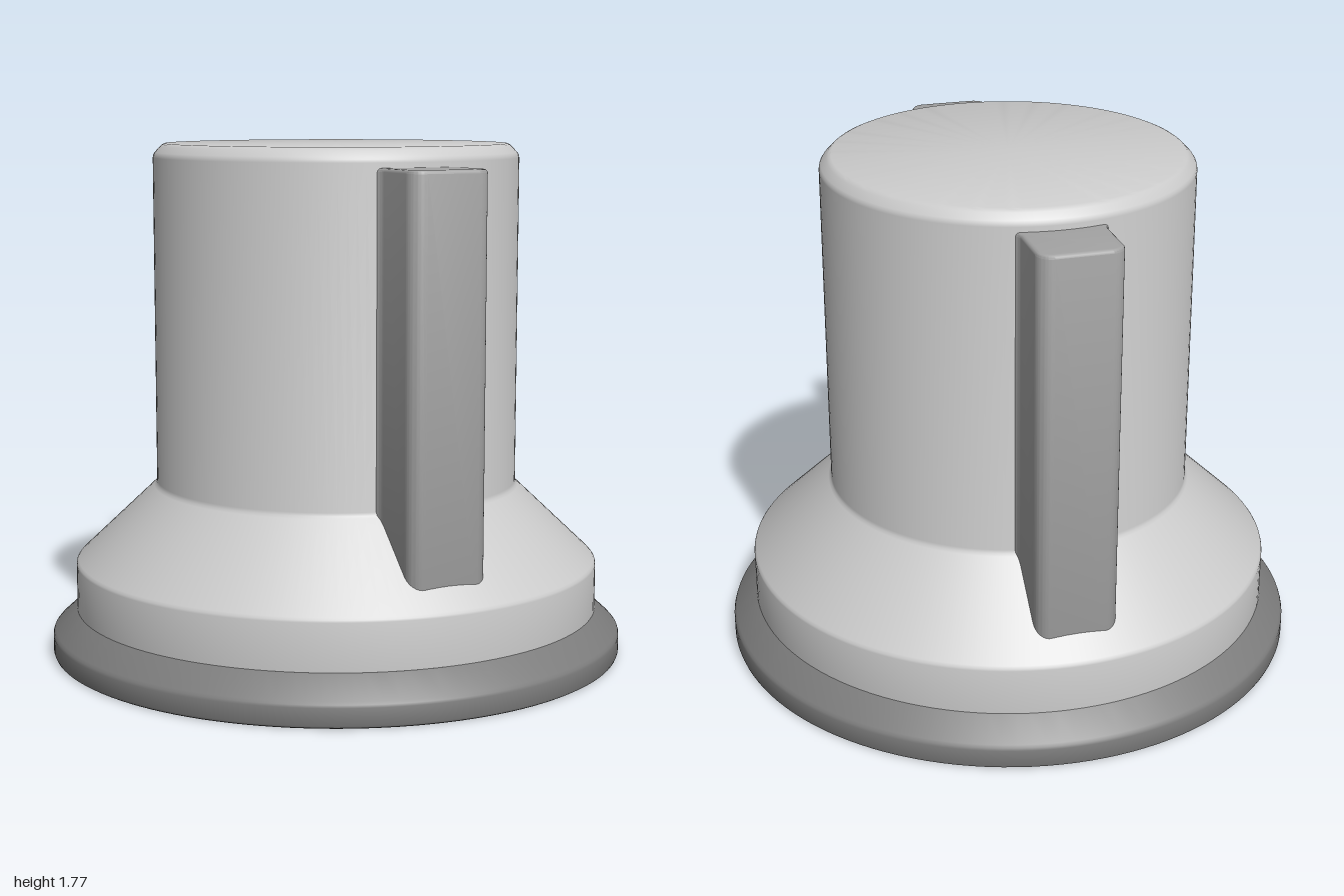
import * as THREE from 'three';
import { toCreasedNormals } from 'three/addons/utils/BufferGeometryUtils.js';

const mat = (color) => new THREE.MeshStandardMaterial({ color });

// Revolved part from [radius, height] pairs, with crisp edges kept
function turned(name, points, material) {
  const lathe = new THREE.LatheGeometry(points.map(([r, y]) => new THREE.Vector2(r, y)), 128);
  const mesh = new THREE.Mesh(toCreasedNormals(lathe, 0.5), material);
  mesh.name = name;
  return mesh;
}

// Upright grip rib with rounded outer corners and a small flare at its root
function ribGeometry() {
  const w = 0.14, out = 0.84, r = 0.05, bevel = 0.012, bottom = 0.34, top = 1.705;
  const s = new THREE.Shape();
  s.moveTo(-0.155, 0.5);
  s.lineTo(0.155, 0.5);
  s.lineTo(0.155, 0.605);
  s.quadraticCurveTo(w, 0.62, w, 0.65);
  s.lineTo(w, out - r);
  s.absarc(w - r, out - r, r, 0, Math.PI / 2, false);
  s.absarc(r - w, out - r, r, Math.PI / 2, Math.PI, false);
  s.lineTo(-w, 0.65);
  s.quadraticCurveTo(-w, 0.62, -0.155, 0.605);
  s.closePath();
  const g = new THREE.ExtrudeGeometry(s, {
    depth: top - bottom - 2 * bevel, curveSegments: 8,
    bevelEnabled: true, bevelThickness: bevel, bevelSize: bevel, bevelOffset: -bevel, bevelSegments: 3,
  });
  g.rotateX(-Math.PI / 2);
  g.translate(0, bottom + bevel, 0);
  return toCreasedNormals(g, 0.6);
}

export function createModel() {
  const model = new THREE.Group();
  model.name = 'controlKnob';

  // Dark chamfered base ring
  model.add(turned('baseRing', [
    [0, 0], [0.99, 0], [0.997, 0.004], [1, 0.012], [1, 0.068], [0.997, 0.077], [0.99, 0.085],
    [0.918, 0.151], [0.912, 0.155], [0, 0.155],
  ], mat(0x7c7c7c)));

  // Skirt, conical shoulder and cylindrical grip
  model.add(turned('knobBody', [
    [0.9, 0.15], [0.915, 0.155], [0.915, 0.315], [0.913, 0.322], [0.907, 0.33],
    [0.64, 0.583], [0.633, 0.591], [0.63, 0.602],
    [0.63, 1.722], [0.628, 1.732], [0.623, 1.74],
    [0.604, 1.76], [0.597, 1.766], [0.588, 1.77], [0, 1.77],
  ], mat(0xcccccc)));

  // Matching ribs at the front and back
  const geometry = ribGeometry(), ribMaterial = mat(0xa2a2a2);
  for (const [name, turn] of [['backRib', 0], ['frontRib', Math.PI]]) {
    const rib = new THREE.Mesh(geometry, ribMaterial);
    rib.name = name;
    rib.rotation.y = turn;
    model.add(rib);
  }
  return model;
}
